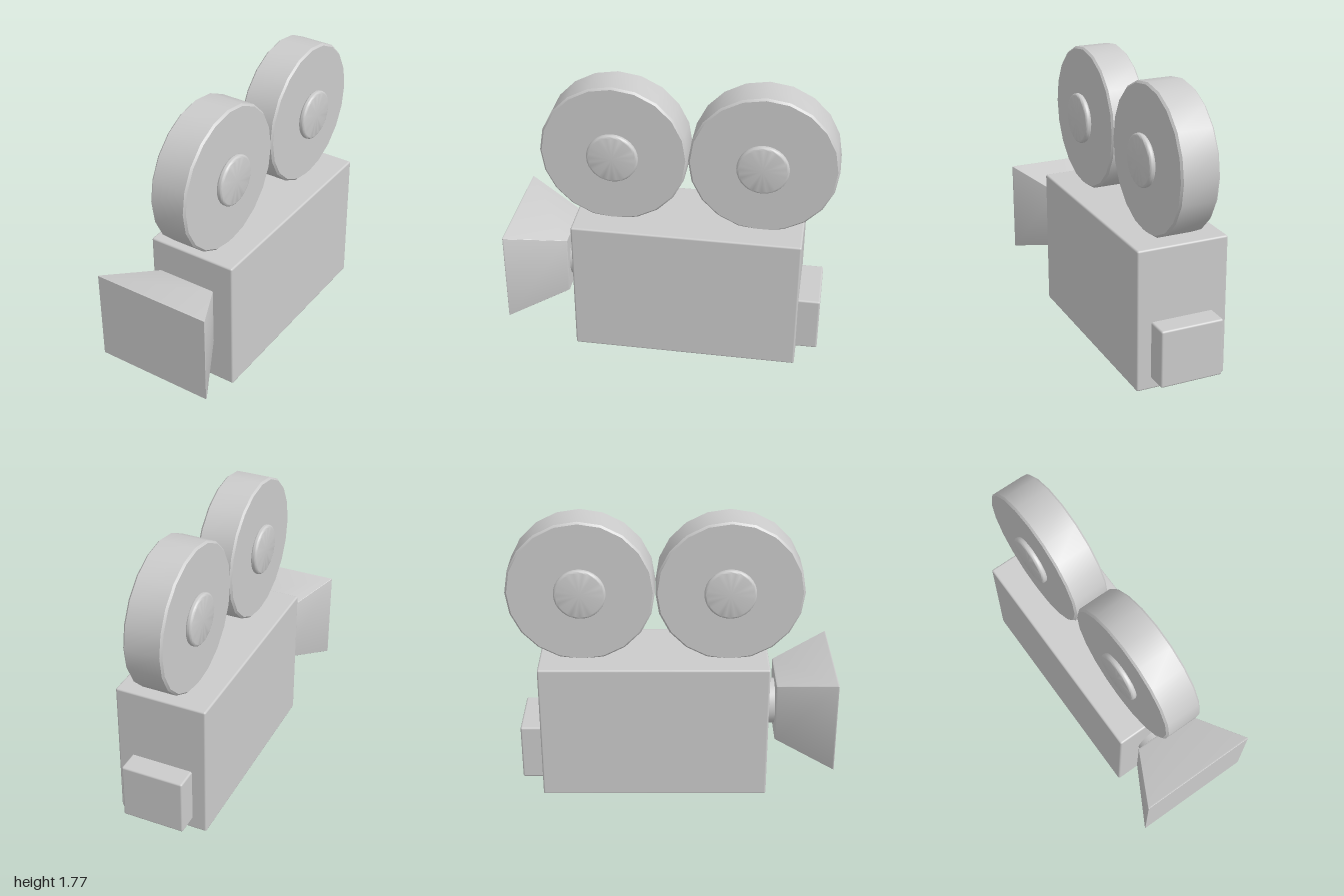
import * as THREE from 'three';
import { RoundedBoxGeometry } from 'three/addons/geometries/RoundedBoxGeometry.js';
import { toCreasedNormals } from 'three/addons/utils/BufferGeometryUtils.js';

const material = new THREE.MeshStandardMaterial({ color: 0xcccccc });

function addPart(parent, name, geometry, x, y, z) {
  const mesh = new THREE.Mesh(geometry, material);
  mesh.name = name;
  mesh.position.set(x, y, z);
  parent.add(mesh);
  return mesh;
}

// Box with slightly rounded edges
const box = (w, h, d, bevel = 0.012) => new RoundedBoxGeometry(w, h, d, 2, bevel);

// Disc with bevelled rims, its axis along x
function disc(radius, width, bevel, sides, steps = 1) {
  const h = width / 2;
  const profile = [new THREE.Vector2(0, -h)];
  for (const end of [-1, 1]) {
    for (let i = 0; i <= steps; i++) {
      const a = (end < 0 ? i : steps - i) / steps * Math.PI / 2;
      profile.push(new THREE.Vector2(
        radius - bevel + bevel * Math.sin(a),
        end * (h - bevel + bevel * Math.cos(a))
      ));
    }
  }
  profile.push(new THREE.Vector2(0, h));
  const geometry = new THREE.LatheGeometry(profile, sides);
  geometry.rotateZ(-Math.PI / 2);
  return toCreasedNormals(geometry, 0.6);
}

// Solid hood that widens towards the front
function hoodGeometry() {
  const depth = 0.355;
  const geometry = box(2, 2, depth, 0.01);
  const p = geometry.attributes.position;
  for (let i = 0; i < p.count; i++) {
    const t = p.getZ(i) / depth + 0.5;
    p.setX(i, p.getX(i) * THREE.MathUtils.lerp(0.187, 0.378, t));
    p.setY(i, p.getY(i) * THREE.MathUtils.lerp(0.187, 0.294, t));
  }
  return toCreasedNormals(geometry, 0.3);
}

export function createModel() {
  const model = new THREE.Group();
  model.name = 'filmCamera';

  // Body, rear box and lens
  addPart(model, 'body', box(0.575, 0.885, 1.405), 0, 0.4425, -0.108);
  addPart(model, 'rearBox', box(0.395, 0.36, 0.16), 0, 0.252, -0.865);
  const neck = disc(0.143, 0.12, 0.008, 32);
  neck.rotateY(Math.PI / 2);
  addPart(model, 'lensNeck', neck, 0, 0.519, 0.615);
  addPart(model, 'lensHood', hoodGeometry(), 0, 0.532, 0.8225);

  // Film reels with a hub on each side
  const reelGeometry = disc(0.449, 0.237, 0.012, 20);
  const hubGeometry = disc(0.157, 0.04, 0.016, 32, 4);
  for (const [name, z] of [['frontReel', 0.351], ['rearReel', -0.549]]) {
    const reel = new THREE.Group();
    reel.name = name;
    reel.position.set(0, 1.318, z);
    addPart(reel, 'disc', reelGeometry, -0.002, 0, 0);
    addPart(reel, 'leftHub', hubGeometry, 0.144, 0, 0);
    addPart(reel, 'rightHub', hubGeometry, -0.134, 0, 0);
    model.add(reel);
  }
  return model;
}
